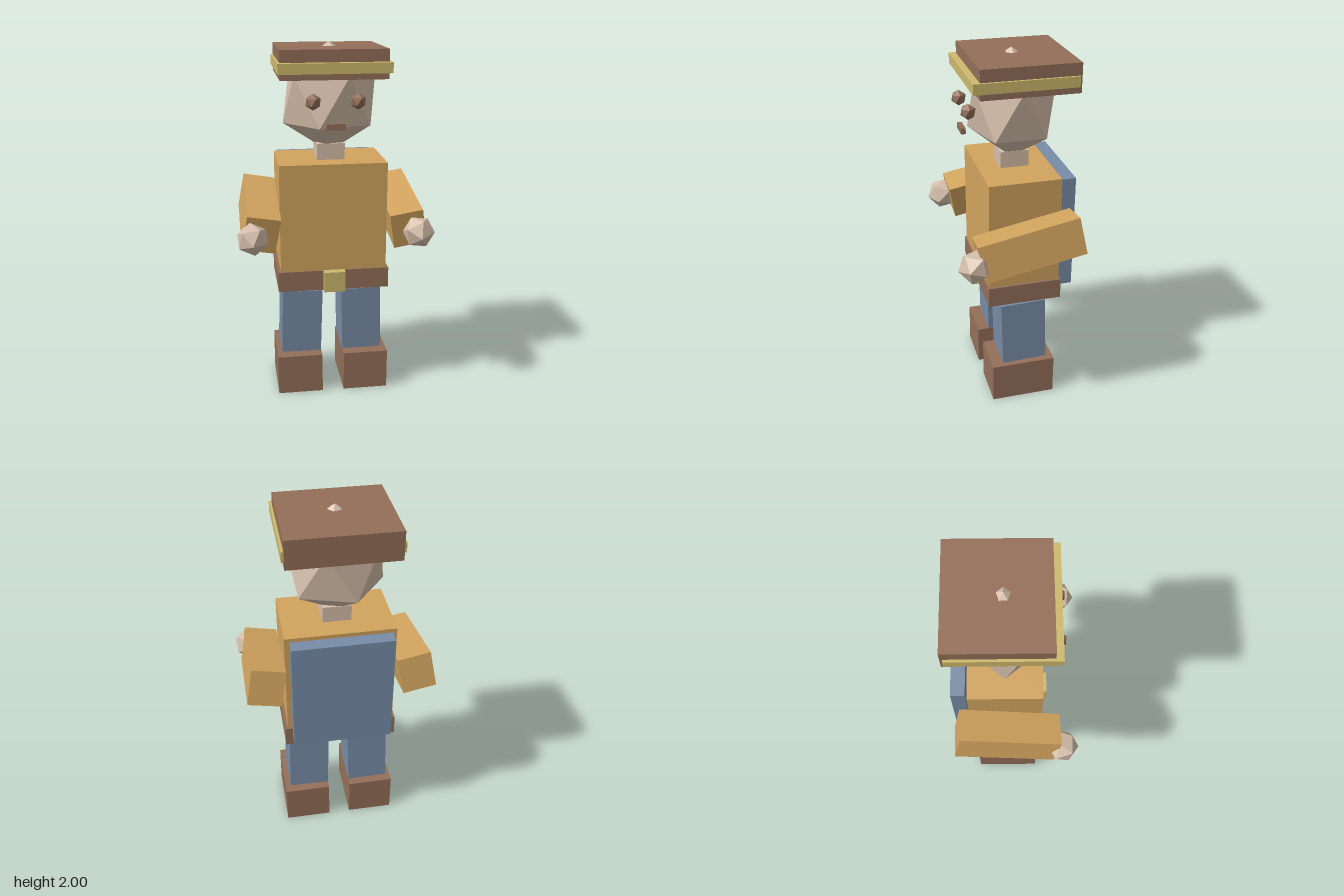
import * as THREE from 'three';
import { ConvexGeometry } from 'three/addons/geometries/ConvexGeometry.js';

const material = (name, color) => {
  const m = new THREE.MeshStandardMaterial({ color });
  m.name = name;
  return m;
};

// Twelve-point ball with a corner at each pole and two staggered rings of five
function facetedBall(rx, ry, rz) {
  const points = [new THREE.Vector3(0, ry, 0), new THREE.Vector3(0, -ry, 0)];
  const h = 1 / Math.sqrt(5), r = 2 * h;
  for (let i = 0; i < 5; i++) {
    const a = (i * Math.PI * 2) / 5;
    const x = r * Math.cos(a) * rx, z = r * Math.sin(a) * rz;
    points.push(new THREE.Vector3(x, h * ry, z), new THREE.Vector3(-x, -h * ry, z));
  }
  return new ConvexGeometry(points);
}

export function createModel() {
  const model = new THREE.Group();
  model.name = 'blockyFigure';

  const tan = material('tan cloth', 0xd2a45e);
  const brown = material('brown leather', 0x946f59);
  const blue = material('blue cloth', 0x788da8);
  const yellow = material('yellow trim', 0xcdb96c);
  const skin = material('skin', 0xd6bfab);

  // All parts sit on a centre line slightly off x = 0
  const cx = -0.004;
  function add(name, geometry, mat, [x, y, z], [ax, ay, az] = [0, 0, 0]) {
    const mesh = new THREE.Mesh(geometry, mat);
    mesh.name = name;
    mesh.position.set(cx + x, y, z);
    mesh.rotation.set(ax, ay, az);
    model.add(mesh);
  }
  const box = (name, mat, size, position, rotation) =>
    add(name, new THREE.BoxGeometry(...size), mat, position, rotation);

  // Body
  box('torso', tan, [0.59, 0.63, 0.392], [0, 1.055, -0.058]);
  box('belt', brown, [0.62, 0.115, 0.41], [0, 0.709, -0.059]);
  box('buckle', yellow, [0.12, 0.116, 0.06], [0.001, 0.709, 0.152]);
  box('backpack', blue, [0.54, 0.645, 0.075], [0, 1.033, -0.3015]);

  // Head and face
  box('neck', skin, [0.154, 0.1, 0.156], [0, 1.41, -0.057]);
  add('head', facetedBall(0.285, 0.3, 0.26), skin, [0, 1.7, -0.056]);
  box('mouth', brown, [0.1, 0.032, 0.025], [0, 1.587, 0.212]);

  // Flat cap with its band
  box('cap', brown, [0.567, 0.154, 0.515], [0, 1.898, -0.083]);
  box('capBand', yellow, [0.593, 0.055, 0.54], [0, 1.883, -0.058]);

  // Paired parts
  for (const [s, side] of [[1, 'left'], [-1, 'right']]) {
    add(`${side}Eye`, facetedBall(0.044, 0.043, 0.043), brown, [s * 0.117, 1.715, 0.2]);

    const armTurn = [0.185, 0, s * 0.175];
    box(`${side}Arm`, tan, [0.182, 0.202, 0.545], [s * 0.401, 1.064, -0.05], armTurn);
    add(`${side}Hand`, facetedBall(0.09, 0.09, 0.09).rotateX(Math.PI / 2), skin,
      [s * 0.449, 1.008, 0.25], armTurn);

    box(`${side}Leg`, blue, [0.228, 0.385, 0.255], [s * 0.173, 0.428, -0.063], [0.027, 0, s * 0.025]);
    box(`${side}Boot`, brown, [0.257, 0.233, 0.363], [s * 0.191, 0.1165, -0.056]);
  }
  return model;
}
